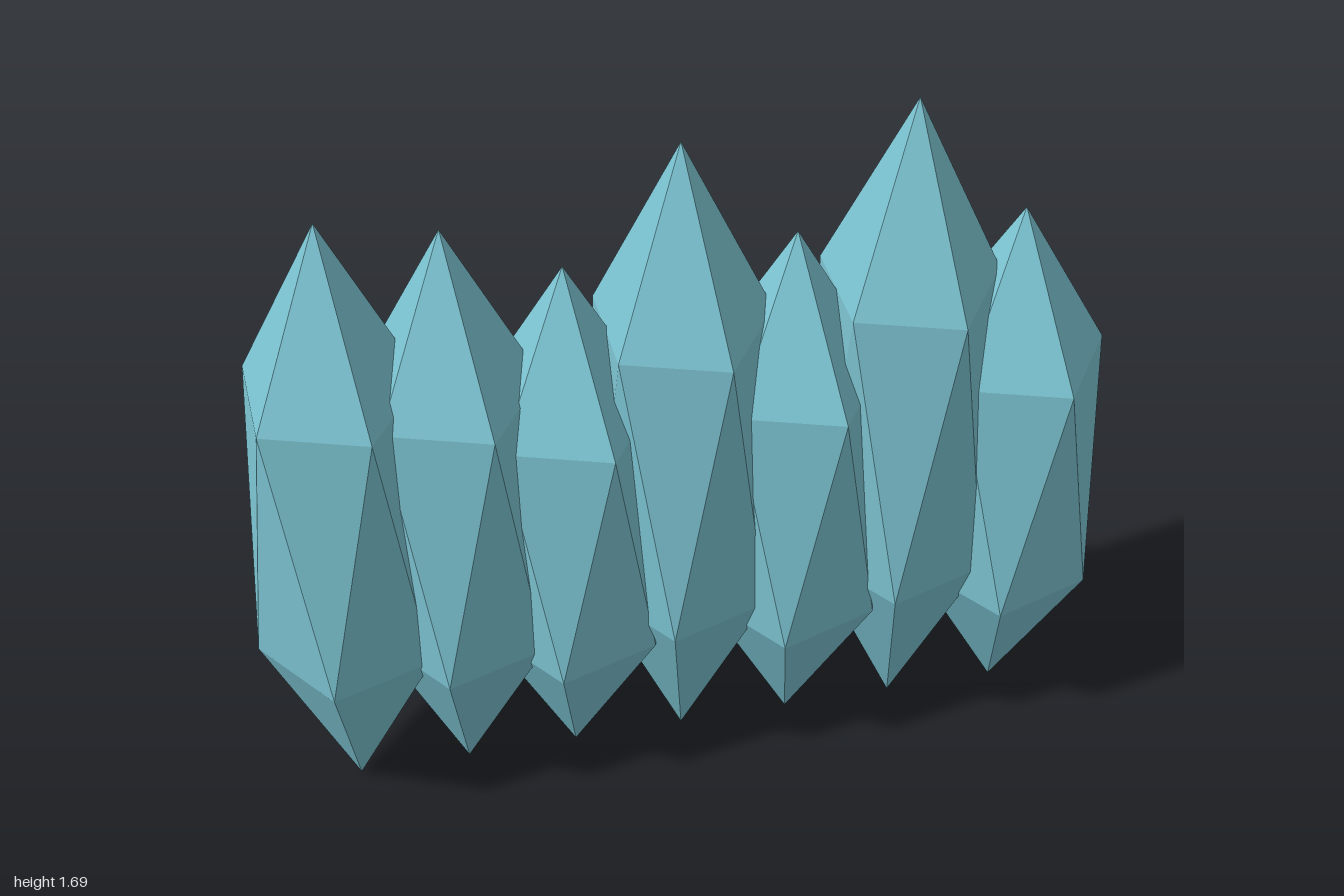
import * as THREE from 'three';

export function createModel() {
  const group = new THREE.Group();
  group.name = 'crystalRow';
  const material = new THREE.MeshStandardMaterial({ color: 0x7cc4d2, flatShading: true });

  // Unit crystal: icosahedron standing on a vertex, one upper ring corner towards +x
  const crystal = new THREE.IcosahedronGeometry(1, 0);
  crystal.rotateZ(-Math.atan(2 / (1 + Math.sqrt(5))));

  // Row of stretched crystals with their tips at different heights
  const base = 0.005, spacing = 0.263, radiusX = 0.236, radiusZ = 0.261;
  const tips = [1.571, 1.517, 1.384, 1.661, 1.398, 1.7, 1.384];
  tips.forEach((tip, i) => {
    const geometry = crystal.clone();
    geometry.scale(radiusX, (tip - base) / 2, radiusZ);
    const mesh = new THREE.Mesh(geometry, material);
    mesh.name = `crystal${i + 1}`;
    mesh.position.set((i - 3) * spacing, (tip + base) / 2, 0);
    group.add(mesh);
  });
  return group;
}
